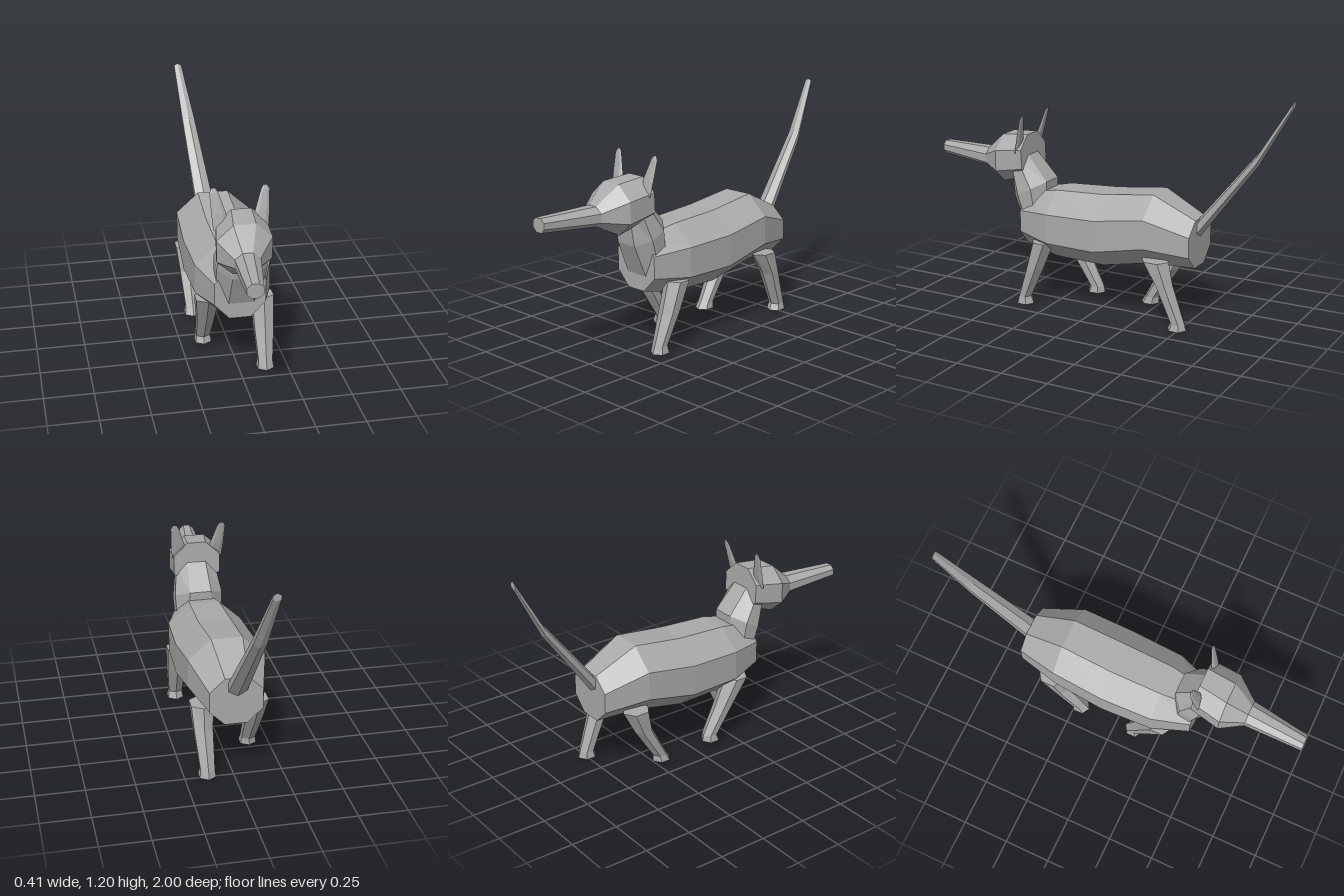
import * as THREE from 'three';

const grey = new THREE.MeshStandardMaterial({ color: 0xaaaaaa, flatShading: true });
grey.name = 'plainGrey';

// Skin a list of equal-length rings and cap both ends, facing outward
function loft(name, rings) {
  const n = rings[0].length, tris = [];
  for (let r = 0; r < rings.length - 1; r++) {
    for (let i = 0; i < n; i++) {
      const j = (i + 1) % n;
      const [a, b, c, d] = [rings[r][i], rings[r][j], rings[r + 1][j], rings[r + 1][i]];
      tris.push([a, b, c], [a, c, d]);
    }
  }
  const last = rings[rings.length - 1];
  for (let i = 1; i < n - 1; i++) {
    tris.push([rings[0][0], rings[0][i + 1], rings[0][i]], [last[0], last[i], last[i + 1]]);
  }
  // the sign of the enclosed volume tells which way the faces point
  const cross = new THREE.Vector3();
  const volume = tris.reduce((s, [a, b, c]) => s + a.dot(cross.crossVectors(b, c)), 0);
  const points = tris.flatMap(([a, b, c]) => (volume > 0 ? [a, b, c] : [a, c, b]));
  const geometry = new THREE.BufferGeometry().setFromPoints(points);
  geometry.computeVertexNormals();
  const mesh = new THREE.Mesh(geometry, grey);
  mesh.name = name;
  return mesh;
}

// Eight-sided ring; z runs from zTop to zBottom so the ring can lean
function octagon(cx, wide, flat, [top, upper, lower, bottom], zTop, zBottom = zTop) {
  const corners = [[flat, top], [wide, upper], [wide, lower], [flat, bottom],
    [-flat, bottom], [-wide, lower], [-wide, upper], [-flat, top]];
  return corners.map(([x, y]) => new THREE.Vector3(
    cx + x, y, zTop + (zBottom - zTop) * (top - y) / (top - bottom)));
}

// Six unit corners with a point at the top and bottom
const hexagon = [[0, 1], [1, 0.5], [1, -0.5], [0, -1], [-1, -0.5], [-1, 0.5]];

// Level six-sided leg sections: [y, xMin, xMax, zMin, zMax]
function leg(name, side, sections) {
  return loft(name, sections.map(([y, x0, x1, z0, z1]) => hexagon.map(([u, v]) =>
    new THREE.Vector3(side * ((x0 + x1) / 2 + u * (x1 - x0) / 2), y, (z0 + z1) / 2 + v * (z1 - z0) / 2))));
}

export function createModel() {
  const model = new THREE.Group();
  model.name = 'walkingAnimal';

  // Body
  model.add(loft('body', [
    octagon(0, 0.13, 0.055, [0.59, 0.505, 0.39, 0.31], 0.425),
    octagon(0, 0.195, 0.08, [0.63, 0.525, 0.37, 0.27], 0.23),
    octagon(0, 0.207, 0.085, [0.645, 0.535, 0.37, 0.265], -0.05),
    octagon(0, 0.197, 0.08, [0.68, 0.575, 0.425, 0.32], -0.33),
    octagon(0, 0.135, 0.058, [0.57, 0.5, 0.395, 0.32], -0.555),
  ]));

  // Neck, leaning forward
  const neckRing = (wide, flat, top, bottom, zBack, zFront) => {
    const h = top - bottom;
    return octagon(0.005, wide, flat, [top, top - 0.3 * h, top - 0.7 * h, bottom], zBack, zFront);
  };
  model.add(loft('neck', [
    neckRing(0.12, 0.065, 0.5, 0.36, 0.3, 0.412),
    neckRing(0.128, 0.058, 0.66, 0.56, 0.3, 0.495),
    neckRing(0.105, 0.05, 0.79, 0.71, 0.415, 0.515),
  ]));

  // Head and long snout, turned slightly to the right
  model.add(loft('head', [
    octagon(0.003, 0.125, 0.05, [0.9, 0.83, 0.73, 0.675], 0.42, 0.41),
    octagon(-0.012, 0.137, 0.055, [0.885, 0.81, 0.7, 0.63], 0.575),
    octagon(-0.02, 0.063, 0.026, [0.79, 0.76, 0.715, 0.69], 0.69),
    octagon(-0.05, 0.04, 0.017, [0.785, 0.765, 0.735, 0.713], 1),
  ]));

  // Thin ears, leaning back: [y, inner x, outer x, z, half thickness]
  for (const [side, name] of [[1, 'leftEar'], [-1, 'rightEar']]) {
    const shift = side > 0 ? -0.008 : 0;
    model.add(loft(name, [
      [0.81, 0.06, 0.14, 0.452, 0.008],
      [0.89, 0.075, 0.147, 0.435, 0.009],
      [0.99, 0.108, 0.152, 0.412, 0.005],
      [1.012, 0.122, 0.14, 0.406, 0.003],
    ].map(([y, x0, x1, z, t]) => hexagon.map(([u, v]) => new THREE.Vector3(
      side * ((x0 + x1) / 2 + v * (x1 - x0) / 2) + shift, y, z + u * t)))));
  }

  // Tail, upright six-sided sections: [x, y, z, half width, half height]
  model.add(loft('tail', [
    [-0.005, 0.505, -0.54, 0.048, 0.053],
    [-0.042, 0.897, -0.84, 0.034, 0.035],
    [-0.075, 1.178, -1, 0.02, 0.02],
  ].map(([x, y, z, w, h]) => hexagon.map(([u, v]) => new THREE.Vector3(x + u * w, y + v * h, z)))));

  // Legs in mid-stride
  model.add(
    leg('leftFrontLeg', 1, [
      [0.36, 0.085, 0.197, 0.215, 0.34],
      [0.2, 0.09, 0.188, 0.285, 0.382],
      [0.04, 0.1, 0.172, 0.36, 0.432],
      [0, 0.095, 0.178, 0.345, 0.446],
    ]),
    leg('rightFrontLeg', -1, [
      [0.36, 0.085, 0.2, 0.2, 0.335],
      [0.2, 0.092, 0.182, 0.135, 0.235],
      [0.06, 0.1, 0.172, 0.065, 0.145],
      [0.025, 0.095, 0.178, 0.058, 0.16],
    ]),
    leg('leftHindLeg', 1, [
      [0.36, 0.085, 0.197, -0.45, -0.3],
      [0.24, 0.095, 0.19, -0.475, -0.38],
      [0.045, 0.1, 0.172, -0.54, -0.463],
      [0.01, 0.095, 0.178, -0.55, -0.447],
    ]),
    leg('rightHindLeg', -1, [
      [0.36, 0.085, 0.2, -0.45, -0.3],
      [0.23, 0.095, 0.185, -0.38, -0.28],
      [0.055, 0.1, 0.172, -0.265, -0.187],
      [0.02, 0.095, 0.178, -0.267, -0.165],
    ]),
  );
  return model;
}
